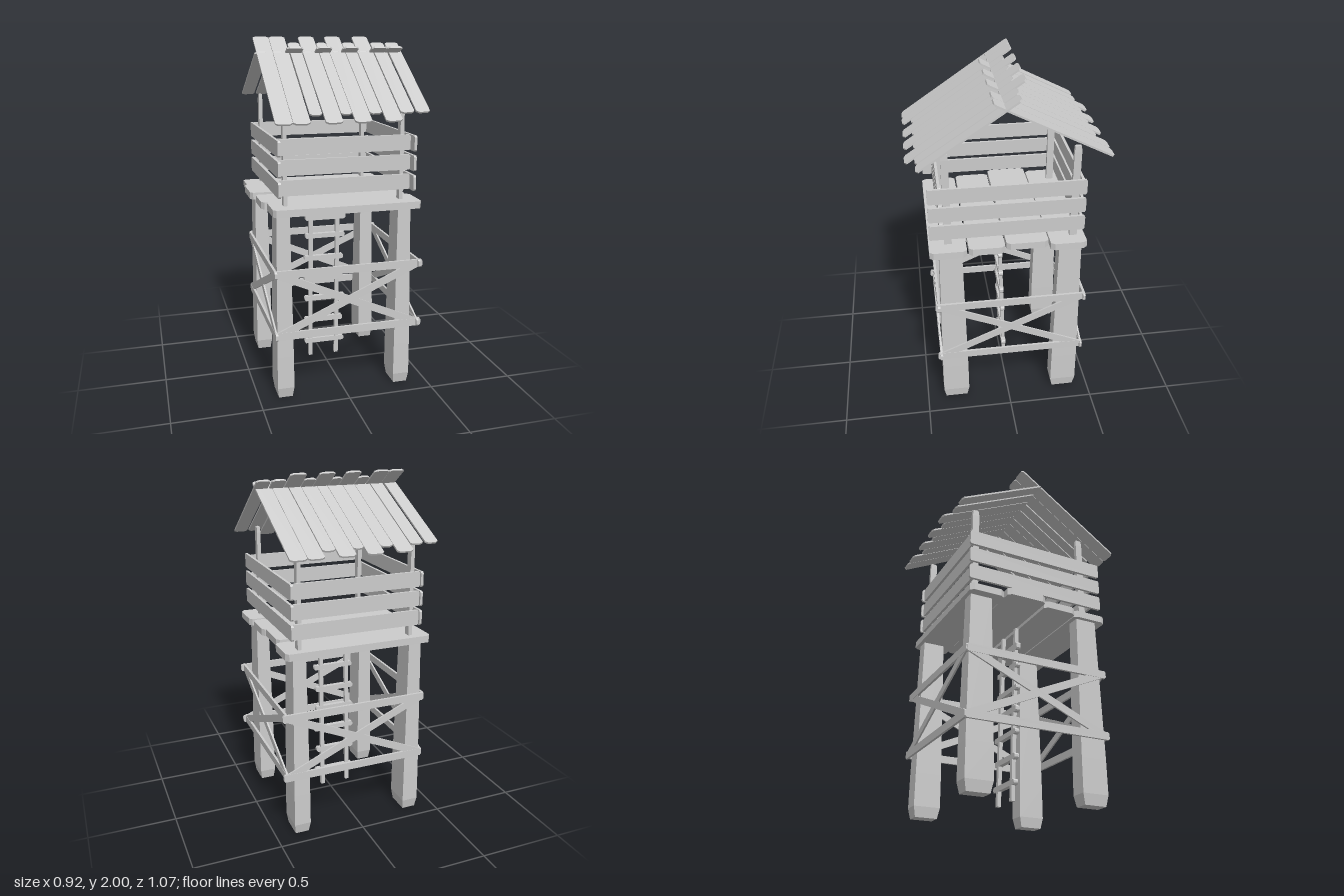
import * as THREE from 'three';

const material = new THREE.MeshStandardMaterial({ color: 0xcccccc, flatShading: true });

function addMesh(parent, name, geometry) {
  const mesh = new THREE.Mesh(geometry, material);
  mesh.name = name;
  parent.add(mesh);
  return mesh;
}

function addGroup(parent, name) {
  const group = new THREE.Group();
  group.name = name;
  parent.add(group);
  return group;
}

// Board along x, its broad face towards z, with clipped corners
function plankGeometry(length, width, thickness, cut = 0.012) {
  const a = length / 2, b = width / 2, c = cut, d = cut * 0.7;
  const shape = new THREE.Shape([
    [-a + d, -b], [a - d, -b], [a, -b + c], [a, b - c],
    [a - d, b], [-a + d, b], [-a, b - c], [-a, -b + c],
  ].map(([x, y]) => new THREE.Vector2(x, y)));
  const geometry = new THREE.ExtrudeGeometry(shape, { depth: thickness, bevelEnabled: false });
  return geometry.translate(0, 0, -thickness / 2);
}

// Upright beam whose outline changes by levels of [y, width, depth]
function beamGeometry(levels) {
  const geometry = new THREE.BoxGeometry(1, 1, 1, 1, levels.length - 1, 1);
  const p = geometry.attributes.position;
  for (let i = 0; i < p.count; i++) {
    const [y, w, d] = levels[Math.round((p.getY(i) + 0.5) * (levels.length - 1))];
    p.setXYZ(i, p.getX(i) * w, y, p.getZ(i) * d);
  }
  geometry.computeVertexNormals();
  return geometry;
}

// Board in an upright plane, between two points given as [along, y]
function board(parent, name, from, to, offset, side, width, thickness) {
  const dx = to[0] - from[0], dy = to[1] - from[1];
  const geometry = plankGeometry(Math.hypot(dx, dy), width, thickness, 0.009);
  geometry.rotateZ(Math.atan2(dy, dx));
  geometry.translate((from[0] + to[0]) / 2, (from[1] + to[1]) / 2, 0);
  if (side) geometry.rotateY(-Math.PI / 2);
  geometry.translate(side ? offset : 0, 0, side ? 0 : offset);
  addMesh(parent, name, geometry);
}

// Row of sloping roof planks; each entry is [xMin, xMax, isLong]
function roofSlope(parent, name, planks, eave, ridge, trimEave, trimRidge) {
  const group = addGroup(parent, name);
  const bottom = new THREE.Vector2(...eave), top = new THREE.Vector2(...ridge);
  const slope = Math.atan2(top.y - bottom.y, bottom.x - top.x);
  for (const [x0, x1, isLong] of planks) {
    const a = bottom.clone().lerp(top, isLong ? 0 : trimEave);
    const b = top.clone().lerp(bottom, isLong ? 0 : trimRidge);
    const geometry = plankGeometry(a.distanceTo(b), x1 - x0, 0.01, 0.016);
    geometry.rotateZ(Math.PI / 2).rotateX(-Math.PI / 2).rotateX(slope);
    geometry.translate((x0 + x1) / 2, (a.y + b.y) / 2, (a.x + b.x) / 2);
    addMesh(group, 'roofPlank', geometry);
  }
}

export function createModel() {
  const model = new THREE.Group();
  model.name = 'watchtower';

  // Thick tapered legs and the thin posts above them
  const legs = addGroup(model, 'legs');
  const posts = addGroup(model, 'posts');
  for (const x of [-0.348, 0.345]) {
    for (const z of [0.323, -0.345]) {
      const leg = beamGeometry([[0, 0.08, 0.13], [0.06, 0.096, 0.155], [0.25, 0.094, 0.153], [1.08, 0.074, 0.125]]);
      addMesh(legs, 'leg', leg).position.set(x, 0, z);
      const post = beamGeometry([[1.09, 0.022, 0.042], [1.62, 0.022, 0.04], [1.655, 0.019, 0.034]]);
      addMesh(posts, 'post', post).position.set(x < 0 ? -0.327 : 0.335, 0, z > 0 ? 0.333 : -0.365);
    }
  }

  // Cross bracing on all four faces: [sideFace, offset, start, end]
  const bracing = addGroup(model, 'bracing');
  for (const [side, offset, s, e] of [
    [false, 0.405, -0.405, 0.455], [false, -0.428, -0.405, 0.455],
    [true, -0.4, -0.43, 0.425], [true, 0.432, -0.43, 0.425],
  ]) {
    for (const y of [0.382, 0.742]) board(bracing, 'horizontalBrace', [s, y], [e, y], offset, side, 0.044, 0.014);
    board(bracing, 'diagonalBrace', [s + 0.01, 0.38], [e - 0.02, 0.745], offset, side, 0.042, 0.01);
    board(bracing, 'diagonalBrace', [s + 0.01, 0.745], [e - 0.02, 0.38], offset, side, 0.042, 0.01);
  }

  // Floor planks: [xMin, xMax, zMin, zMax, y]
  const floor = addGroup(model, 'floor');
  for (const [x0, x1, z0, z1, y] of [
    [-0.41, 0.43, 0.235, 0.44, 1.092], [-0.435, 0.415, 0.025, 0.225, 1.089],
    [-0.462, 0.405, -0.217, 0.017, 1.1], [-0.437, 0.425, -0.43, -0.227, 1.089],
  ]) {
    const geometry = plankGeometry(x1 - x0, z1 - z0, 0.04, 0.022).rotateX(-Math.PI / 2);
    addMesh(floor, 'floorPlank', geometry).position.set((x0 + x1) / 2, y, (z0 + z1) / 2);
  }

  // Three rows of railing boards around the platform
  const railing = addGroup(model, 'railing');
  for (const y of [1.215, 1.325, 1.435]) {
    for (const z of [0.37, -0.395]) board(railing, 'railBoard', [-0.368, y], [0.376, y], z, false, 0.086, 0.015);
    for (const x of [-0.374, 0.383]) board(railing, 'railBoard', [-0.415, y], [0.435, y], x, true, 0.086, 0.015);
  }

  // Ladder leaning slightly beneath the platform
  const ladder = addGroup(model, 'ladder');
  const leanAt = (y) => -0.016 + 0.03 * (y - 0.05);
  for (const x of [-0.103, 0.063]) {
    const rail = new THREE.BoxGeometry(0.024, 1.03, 0.022);
    rail.rotateX(Math.atan(0.03));
    addMesh(ladder, 'ladderRail', rail).position.set(x, 0.56, leanAt(0.56));
  }
  for (const [y, x0, x1, h] of [
    [0.145, -0.14, 0.11, 0.03], [0.288, -0.142, 0.1, 0.032], [0.43, -0.142, 0.115, 0.03], [0.562, -0.143, 0.1, 0.036],
    [0.692, -0.143, 0.1, 0.03], [0.833, -0.138, 0.108, 0.028], [0.953, -0.138, 0.11, 0.042],
  ]) {
    board(ladder, 'rung', [x0, y], [x1, y], leanAt(y) + 0.002, false, h, 0.027);
  }

  // Two crossing roof slopes of long and short planks
  const roof = addGroup(model, 'roof');
  roofSlope(roof, 'frontRoof', [
    [-0.41, -0.32, true], [-0.318, -0.228, true], [-0.22, -0.154, false], [-0.148, -0.057, true], [-0.053, 0.006, false],
    [0.008, 0.099, true], [0.102, 0.17, false], [0.175, 0.267, true], [0.274, 0.352, false], [0.363, 0.441, false],
  ], [0.533, 1.572], [-0.098, 1.996], 0.085, 0.08);
  roofSlope(roof, 'backRoof', [
    [-0.42, -0.345, false], [-0.331, -0.255, false], [-0.249, -0.156, true], [-0.154, -0.082, false], [-0.08, 0.011, true],
    [0.013, 0.073, false], [0.075, 0.167, true], [0.169, 0.24, false], [0.245, 0.336, true], [0.338, 0.43, true],
  ], [-0.535, 1.625], [0.087, 1.941], 0.078, 0.085);

  return model;
}
